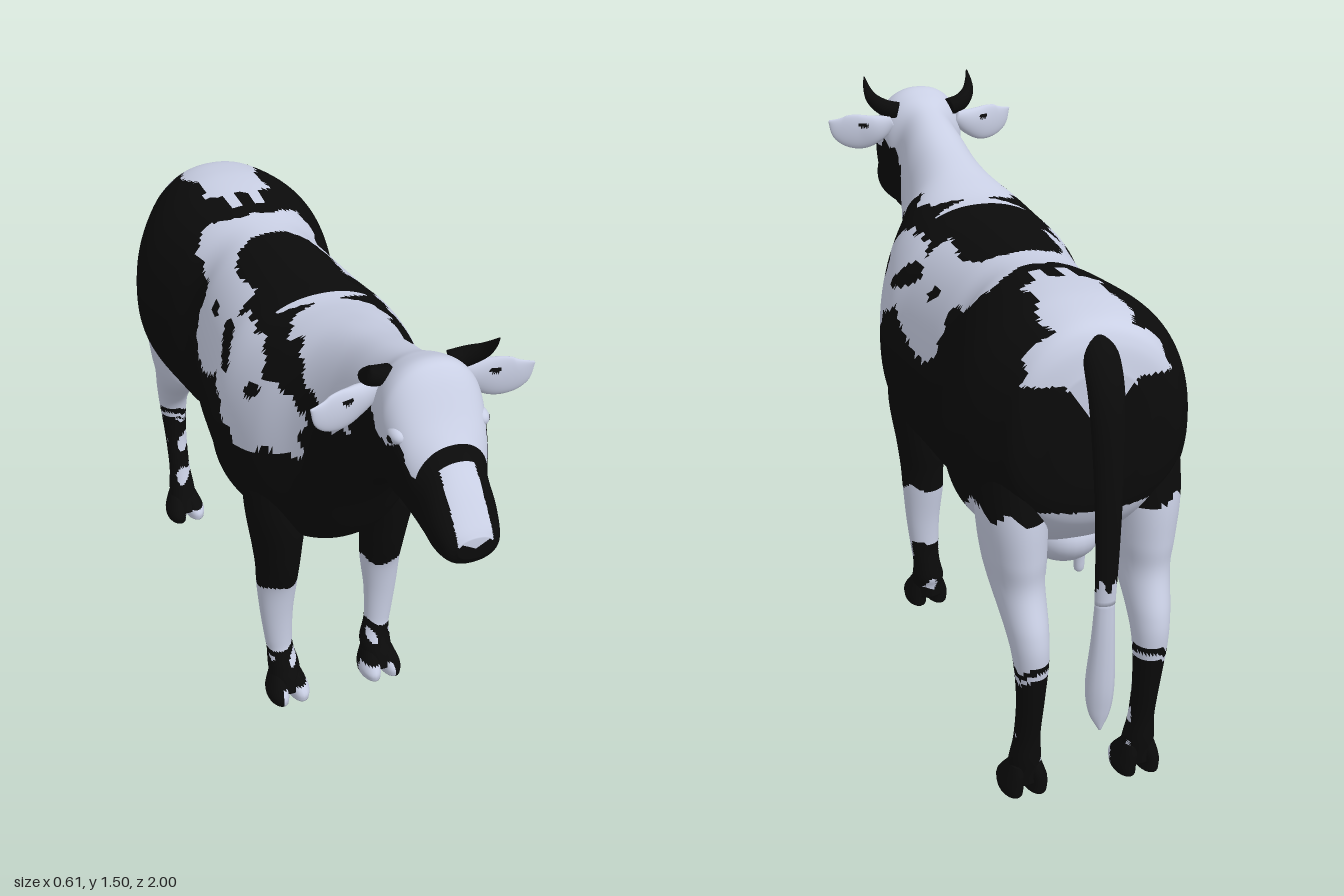
import * as THREE from 'three';

const white = new THREE.MeshStandardMaterial({ color: 0xc9cfe4 });
white.name = 'paleCoat';
const black = new THREE.MeshStandardMaterial({ color: 0x0b0b0b });
black.name = 'blackCoat';

// Closed skin over a grid of rings; isWhite(|x|, y, z) picks the coat of each face
function skin(name, point, nu, nv, isWhite) {
  const pos = [], groups = [[], []];
  const p = new THREE.Vector3();
  for (let i = 0; i <= nu; i++)
    for (let j = 0; j < nv; j++) {
      point(i / nu, (j / nv) * Math.PI * 2, p);
      pos.push(p.x, p.y, p.z);
    }
  // End centres for the caps
  for (const row of [0, nu]) {
    const c = [0, 0, 0];
    for (let j = 0; j < nv; j++) for (let k = 0; k < 3; k++) c[k] += pos[(row * nv + j) * 3 + k] / nv;
    pos.push(...c);
  }
  const tri = (...t) => {
    const mid = k => (pos[t[0] * 3 + k] + pos[t[1] * 3 + k] + pos[t[2] * 3 + k]) / 3;
    groups[isWhite(Math.abs(mid(0)), mid(1), mid(2)) ? 0 : 1].push(...t);
  };
  const first = (nu + 1) * nv;
  for (let j = 0; j < nv; j++) {
    const k = (j + 1) % nv;
    for (let i = 0; i < nu; i++) {
      const a = i * nv + j, b = i * nv + k;
      tri(a, b, a + nv);
      tri(b, b + nv, a + nv);
    }
    tri(first, k, j);
    tri(first + 1, nu * nv + j, nu * nv + k);
  }
  const g = new THREE.BufferGeometry();
  g.setAttribute('position', new THREE.Float32BufferAttribute(pos, 3));
  g.setIndex([...groups[0], ...groups[1]]);
  g.addGroup(0, groups[0].length, 0);
  g.addGroup(groups[0].length, groups[1].length, 1);
  g.computeVertexNormals();
  const mesh = new THREE.Mesh(g, [white, black]);
  mesh.name = name;
  return mesh;
}

const spline = pts => new THREE.CatmullRomCurve3(pts.map(p => new THREE.Vector3(...p)), false, 'catmullrom', 0.5);

// Sweep of elliptical rings [x, y, z, ra, rb]; ra lies along ref, level keeps rings horizontal
function sweep(name, secs, ref, isWhite, nu = 24, nv = 16, level = false) {
  const path = spline(secs.map(s => s.slice(0, 3)));
  const size = spline(secs.map(s => [s[3], s[4], 0]));
  const A = new THREE.Vector3(), B = new THREE.Vector3();
  return skin(name, (u, a, p) => {
    const T = level ? new THREE.Vector3(0, 1, 0) : path.getTangent(u);
    A.set(...ref).addScaledVector(T, -T.dot(A)).normalize();
    B.crossVectors(T, A);
    const r = size.getPoint(u);
    path.getPoint(u, p);
    p.addScaledVector(A, Math.cos(a) * Math.max(r.x, 0.001)).addScaledVector(B, Math.sin(a) * Math.max(r.y, 0.001));
  }, nu, nv, isWhite);
}

function inside(poly, x, y) {
  let hit = false;
  for (let i = 0, j = poly.length - 1; i < poly.length; j = i++) {
    const [ax, ay] = poly[i], [bx, by] = poly[j];
    if (ay > y !== by > y && x < ((bx - ax) * (y - ay)) / (by - ay) + ax) hit = !hit;
  }
  return hit;
}
const oval = (x, y, cx, cy, rx, ry) => ((x - cx) / rx) ** 2 + ((y - cy) / ry) ** 2 < 1;

// Coat patches: neck and flank as (z, y), back as (z, |x|)
const neckPatch = [[0.91, 1.2], [0.85, 1.245], [0.8, 1.29], [0.62, 1.3], [0.55, 1.26], [0.5, 1.2], [0.52, 1.15],
  [0.42, 1.13], [0.32, 1.2], [0.24, 1.26], [0.1, 1.272], [0.05, 1.27], [0.05, 1.6], [1, 1.6]];
const flankPatch = [[0.335, 1.12], [0.2, 1.15], [0.14, 1.2], [0.02, 1.23], [-0.07, 1.2], [-0.2, 1.22], [-0.35, 1.24],
  [-0.47, 1.29], [-0.5, 1.25], [-0.45, 1.18], [-0.35, 1.15], [-0.33, 1.07], [-0.3, 0.98], [-0.15, 0.96],
  [-0.07, 1.04], [0.03, 1.01], [0.13, 0.91], [0.25, 0.96], [0.335, 0.99]];
const backPatch = [[-0.47, -0.01], [-0.47, 0.04], [-0.43, 0.06], [-0.47, 0.1], [-0.47, 0.14], [-0.38, 0.15],
  [-0.33, 0.2], [-0.1, 0.2], [-0.1, 0.13], [-0.25, 0.14], [-0.33, 0.11], [-0.36, 0.05], [-0.34, -0.01]];

function bodyCoat(x, y, z0) {
  const z = z0 + 0.012 * Math.sin(41 * y + 9 * z0) + 0.008 * Math.sin(90 * y + 50 * x);
  const h = y + 0.01 * Math.sin(45 * z0) + 0.007 * Math.sin(97 * z0 + 2);
  if (z0 > 0.62) {
    if (x < 0.045 && z0 > 0.88 && y > 1.125) return true; // blaze on the nose
    if (z0 > 0.855) return false;
    return inside(neckPatch, z0, h);
  }
  if (oval(z + (y - 1.12), y, -0.02, 1.13, 0.05, 0.045)) return false;
  if (oval(z, y, 0.16, 1.1, 0.025, 0.025) || oval(z, y, -0.21, 1.14, 0.03, 0.02)) return false;
  if (inside(neckPatch, z0, h) || inside(flankPatch, z, h)) return true;
  if (y > 1.15 && inside(backPatch, z, x)) return true;
  if (y > 1.1 && z < -0.6 && x < 0.1 + 0.015 * Math.sin(30 * z0)) return true; // rump
  if (y > 1.15 && z < -0.86 && x < 0.19) return true;
  if (y > 1.2 && z < -0.53 && z > -0.61 && x > 0.018 && x < 0.05) return true;
  if (y < 0.6 && oval(x, z0, 0, -0.02, 0.1, 0.1)) return true; // belly spot
  return z < -0.5 && h < Math.min(0.8, 0.64 + (-0.5 - z) * 0.7);
}

// Trunk, neck and head: z, top, bottom, half width, height of widest point
function makeBody() {
  const secs = [
    [-0.91, 1.17, 0.88, 0.12, 1.02], [-0.89, 1.24, 0.8, 0.2, 1], [-0.85, 1.28, 0.74, 0.235, 0.98],
    [-0.75, 1.298, 0.66, 0.29, 0.95], [-0.65, 1.3, 0.62, 0.305, 0.93], [-0.5, 1.29, 0.59, 0.27, 0.92],
    [-0.4, 1.282, 0.565, 0.23, 0.9], [-0.3, 1.28, 0.555, 0.25, 0.88], [-0.1, 1.282, 0.56, 0.28, 0.88],
    [0, 1.285, 0.565, 0.298, 0.89], [0.1, 1.29, 0.57, 0.285, 0.91], [0.2, 1.31, 0.585, 0.25, 0.93],
    [0.3, 1.335, 0.67, 0.185, 0.98], [0.4, 1.36, 0.85, 0.14, 1.08], [0.5, 1.39, 0.97, 0.115, 1.18],
    [0.6, 1.42, 1.04, 0.1, 1.24], [0.66, 1.445, 1.06, 0.118, 1.31], [0.72, 1.46, 1.06, 0.128, 1.32],
    [0.76, 1.435, 1.07, 0.127, 1.3], [0.82, 1.35, 1.06, 0.11, 1.25], [0.87, 1.29, 1.045, 0.09, 1.18],
    [0.93, 1.225, 1.045, 0.085, 1.14], [0.98, 1.165, 1.06, 0.07, 1.115], [0.998, 1.14, 1.085, 0.045, 1.112]];
  const profile = spline(secs.map(s => [s[0], s[1], s[2]]));
  const width = spline(secs.map(s => [s[3], s[4], 0]));
  return skin('body', (u, a, p) => {
    const { x: z, y: top, z: bottom } = profile.getPoint(u);
    const { x: half, y: mid } = width.getPoint(u);
    const c = Math.cos(a), s = Math.sin(a), e = 2 / 2.2;
    p.set(Math.sign(c) * Math.abs(c) ** e * half,
      mid + Math.sign(s) * Math.abs(s) ** e * (s > 0 ? top - mid : mid - bottom), z);
  }, 230, 120, bodyCoat);
}

const wave = (x, y, z) => Math.sin(60 * y + 40 * z) + Math.sin(75 * x - 55 * z + 1);
const frontCoat = (x, y, z) => {
  const h = y + 0.012 * Math.sin(60 * z + 30 * x);
  return (h > 0.17 && h < 0.42 && !(z < 0.105 && h < 0.22)) || (h < 0.15 && h > 0.06 && wave(x, y, z) > 1.3);
};
const hindCoat = (x, y, z) => {
  const h = y + 0.012 * Math.sin(55 * z + 40 * x);
  return (h > 0.41 && h < 0.8) || (h > 0.375 && h < 0.39) || (h < 0.37 && z > -0.87 && wave(x, y, z) > 0.9);
};

export function createModel() {
  const cow = new THREE.Group();
  cow.name = 'cow';
  cow.add(makeBody());
  const allWhite = () => true, allBlack = () => false;

  for (const s of [1, -1]) {
    const side = s > 0 ? 'left' : 'right';
    // Legs: y, z, half depth, x, half width
    const leg = (name, rows, coat) => cow.add(sweep(side + name,
      rows.map(([y, z, d, x, w]) => [s * x, y, z, d, w]), [0, 0, 1], coat, 90, 32, true));
    leg('FrontLeg', [[0.03, 0.145, 0.058, 0.15, 0.05], [0.07, 0.135, 0.053, 0.15, 0.047], [0.1, 0.123, 0.05, 0.15, 0.046],
      [0.15, 0.115, 0.038, 0.156, 0.04], [0.2, 0.115, 0.035, 0.161, 0.042], [0.3, 0.115, 0.041, 0.165, 0.05],
      [0.4, 0.115, 0.055, 0.163, 0.06], [0.47, 0.122, 0.072, 0.163, 0.063], [0.55, 0.125, 0.09, 0.165, 0.07],
      [0.7, 0.13, 0.11, 0.17, 0.085], [0.88, 0.11, 0.12, 0.17, 0.08]], frontCoat);
    leg('HindLeg', [[0.03, -0.825, 0.052, 0.155, 0.05], [0.07, -0.837, 0.044, 0.155, 0.044], [0.11, -0.847, 0.04, 0.155, 0.041],
      [0.18, -0.86, 0.034, 0.155, 0.034], [0.3, -0.883, 0.037, 0.155, 0.036], [0.42, -0.888, 0.05, 0.157, 0.045],
      [0.5, -0.857, 0.073, 0.16, 0.054], [0.6, -0.785, 0.108, 0.165, 0.068], [0.68, -0.77, 0.122, 0.168, 0.08],
      [0.8, -0.765, 0.122, 0.172, 0.088], [0.96, -0.73, 0.13, 0.17, 0.09]], hindCoat);

    // Cloven hooves, two toes each
    for (const [name, cx, cz, coat] of [
      ['FrontHoof', 0.15, 0.157, (x, y, z) => x < 0.18 && y < 0.045 && z > 0.15],
      ['HindHoof', 0.155, -0.822, (x, y, z) => x < 0.165 && y < 0.035 && z > -0.81]])
      for (const t of [-1, 1])
        cow.add(sweep(side + name, [[s * cx + t * 0.032, 0, cz, 0.06, 0.03], [s * cx + t * 0.032, 0.025, cz, 0.06, 0.032],
          [s * cx + t * 0.025, 0.06, cz - 0.014, 0.047, 0.027], [s * cx + t * 0.02, 0.09, cz - 0.025, 0.03, 0.02]],
        [0, 0, 1], coat, 16, 20, true));

    // Ear, horn and eye
    cow.add(sweep(side + 'Ear', [[s * 0.1, 1.375, 0.655, 0.02, 0.015], [s * 0.15, 1.355, 0.66, 0.042, 0.02],
      [s * 0.2, 1.345, 0.675, 0.053, 0.016], [s * 0.25, 1.355, 0.69, 0.042, 0.01], [s * 0.287, 1.378, 0.7, 0.003, 0.003]],
    [0, 1, 0], (x, y) => !oval(x, y, 0.19, 1.368, 0.015, 0.007), 40, 32));
    cow.add(sweep(side + 'Horn', [[s * 0.08, 1.405, 0.66, 0.026, 0.026], [s * 0.12, 1.415, 0.67, 0.025, 0.025],
      [s * 0.15, 1.437, 0.695, 0.019, 0.019], [s * 0.161, 1.465, 0.72, 0.011, 0.011], [s * 0.163, 1.495, 0.745, 0.002, 0.002]],
    [0, 0, 1], allBlack));
    const eyelid = new THREE.Mesh(new THREE.SphereGeometry(1, 20, 14), white);
    eyelid.name = side + 'Eyelid';
    eyelid.scale.set(0.022, 0.022, 0.032);
    eyelid.position.set(s * 0.106, 1.315, 0.775);
    const eye = new THREE.Mesh(new THREE.SphereGeometry(0.013, 16, 12), black);
    eye.name = side + 'Eye';
    eye.position.set(s * 0.118, 1.31, 0.78);
    cow.add(eyelid, eye);

    // Teats
    for (const z of [-0.56, -0.65])
      cow.add(sweep(side + 'Teat', [[s * 0.05, 0.6, z, 0.024, 0.024], [s * 0.052, 0.55, z, 0.016, 0.016],
        [s * 0.052, 0.51, z, 0.013, 0.013], [s * 0.052, 0.5, z, 0.004, 0.004]], [0, 0, 1], allWhite, 12, 12));
  }

  const udder = new THREE.Mesh(new THREE.SphereGeometry(1, 32, 20), white);
  udder.name = 'udder';
  udder.scale.set(0.11, 0.09, 0.15);
  udder.position.set(0, 0.645, -0.62);
  cow.add(udder);

  // Tail and its pale tuft
  cow.add(sweep('tail', [[0, 1.235, -0.86, 0.03, 0.04], [0, 1.19, -0.91, 0.03, 0.045], [0, 1.1, -0.948, 0.03, 0.043],
    [0, 0.93, -0.97, 0.025, 0.036], [0, 0.75, -0.977, 0.02, 0.03], [0, 0.6, -0.972, 0.018, 0.026]], [0, 0, 1],
  (x, y, z) => y < 0.65 + 0.02 * Math.sin(150 * x + 90 * z), 60, 20));
  cow.add(sweep('tailTuft', [[0, 0.61, -0.972, 0.018, 0.025], [0, 0.5, -0.967, 0.024, 0.03], [0, 0.36, -0.955, 0.032, 0.037],
    [0, 0.28, -0.957, 0.02, 0.028], [0, 0.23, -0.965, 0.003, 0.003]], [0, 0, 1], allWhite, 24, 10));
  return cow;
}
